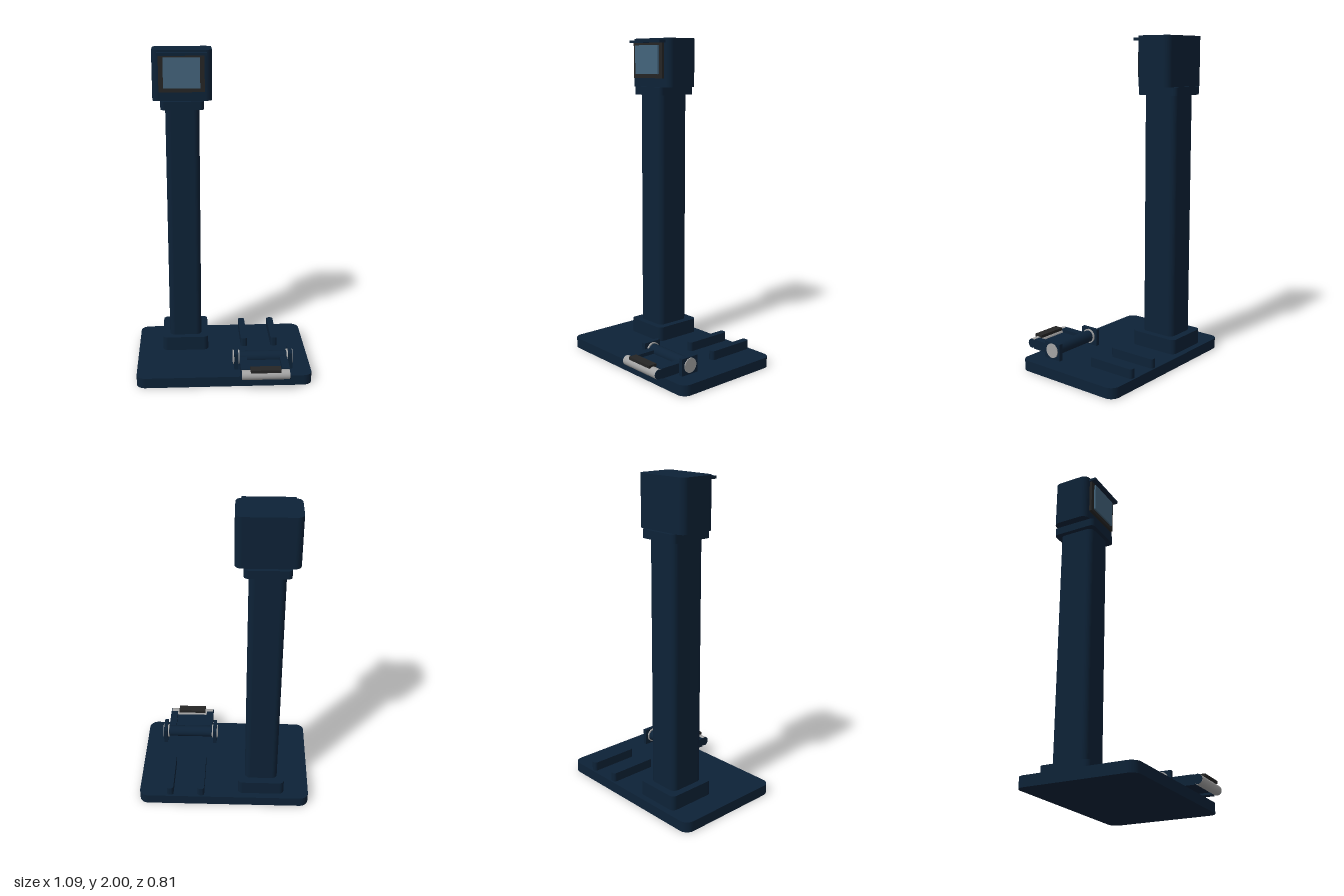
import * as THREE from 'three';

const paint = (name, color) => {
  const m = new THREE.MeshStandardMaterial({ color });
  m.name = name;
  return m;
};

export function createModel() {
  const navy = paint('navy paint', 0x0d2237);
  const glass = paint('blue glass', 0x43647c);
  const black = paint('black rubber', 0x252525);
  const steel = paint('light steel', 0xa3a3a3);

  const model = new THREE.Group();
  model.name = 'pedestalStand';

  const add = (name, geometry, material, parent = model) => {
    const mesh = new THREE.Mesh(geometry, material);
    mesh.name = name;
    parent.add(mesh);
    return mesh;
  };

  // Box given by its limits on each axis
  const box = (name, [x0, x1], [y0, y1], [z0, z1], material, parent) => {
    const g = new THREE.BoxGeometry(x1 - x0, y1 - y0, z1 - z0);
    g.translate((x0 + x1) / 2, (y0 + y1) / 2, (z0 + z1) / 2);
    return add(name, g, material, parent);
  };

  // Upright slab whose plan is a rectangle with rounded corners
  const slab = (name, [x0, x1], [y0, y1], [z0, z1], r, material, parent) => {
    const s = new THREE.Shape();
    s.absarc(x1 - r, -z0 - r, r, 0, Math.PI / 2);
    s.absarc(x0 + r, -z0 - r, r, Math.PI / 2, Math.PI);
    s.absarc(x0 + r, -z1 + r, r, Math.PI, Math.PI * 1.5);
    s.absarc(x1 - r, -z1 + r, r, Math.PI * 1.5, Math.PI * 2);
    s.closePath();
    const g = new THREE.ExtrudeGeometry(s, { depth: y1 - y0, bevelEnabled: false, curveSegments: 8 });
    g.rotateX(-Math.PI / 2).translate(0, y0, 0);
    return add(name, g, material, parent);
  };

  // Cylinder lying along x
  const rod = (name, [x0, x1], y, z, r, material, parent) => {
    const g = new THREE.CylinderGeometry(r, r, x1 - x0, 32);
    g.rotateZ(Math.PI / 2).translate((x0 + x1) / 2, y, z);
    return add(name, g, material, parent);
  };

  // Floor plate and column
  slab('basePlate', [-0.545, 0.542], [0, 0.065], [-0.405, 0.317], 0.055, navy);
  slab('columnPlinth', [-0.387, -0.092], [0.065, 0.157], [-0.365, -0.048], 0.03, navy);
  slab('column', [-0.342, -0.136], [0.157, 1.65], [-0.318, -0.09], 0.035, navy);
  slab('columnCollar', [-0.37, -0.108], [1.65, 1.7], [-0.346, -0.064], 0.025, navy);

  // Display head
  const head = new THREE.Group();
  head.name = 'displayHead';
  model.add(head);
  slab('headCase', [-0.418, -0.058], [1.7, 2], [-0.325, -0.09], 0.04, navy, head);
  box('screenBezel', [-0.378, -0.103], [1.755, 1.972], [-0.091, -0.073], black, head);
  box('screen', [-0.35, -0.13], [1.78, 1.958], [-0.074, -0.062], glass, head);
  box('screenHood', [-0.386, -0.09], [1.972, 1.988], [-0.1, -0.045], navy, head);

  // Guide rails at the back of the plate
  for (const x of [0.145, 0.343]) {
    slab('guideRail', [x - 0.021, x + 0.021], [0.065, 0.122], [-0.395, -0.082], 0.016, navy);
  }

  // Foot pedal, symmetric about its own centre line
  const pedal = new THREE.Group();
  pedal.name = 'footPedal';
  pedal.position.x = 0.245;
  model.add(pedal);
  rod('pivotTube', [-0.15, 0.15], 0.12, 0.165, 0.037, navy, pedal);
  for (const side of [-1, 1]) {
    const span = (a, b) => (side > 0 ? [a, b] : [-b, -a]);
    box('pivotBracket', span(0.157, 0.182), [0.065, 0.17], [0.105, 0.227], navy, pedal);
    rod('pivotCap', span(0.148, 0.188), 0.12, 0.165, 0.045, steel, pedal);
    box('pedalArm', span(0.103, 0.15), [0.077, 0.137], [0.17, 0.355], navy, pedal);
    rod('treadEnd', span(0.146, 0.15), 0.108, 0.374, 0.029, navy, pedal);
  }
  box('pedalWeb', [-0.103, 0.103], [0.09, 0.115], [0.18, 0.36], navy, pedal);
  rod('treadBar', [-0.146, 0.146], 0.108, 0.374, 0.03, steel, pedal);
  box('treadPad', [-0.093, 0.093], [0.132, 0.15], [0.345, 0.4], black, pedal);

  return model;
}
